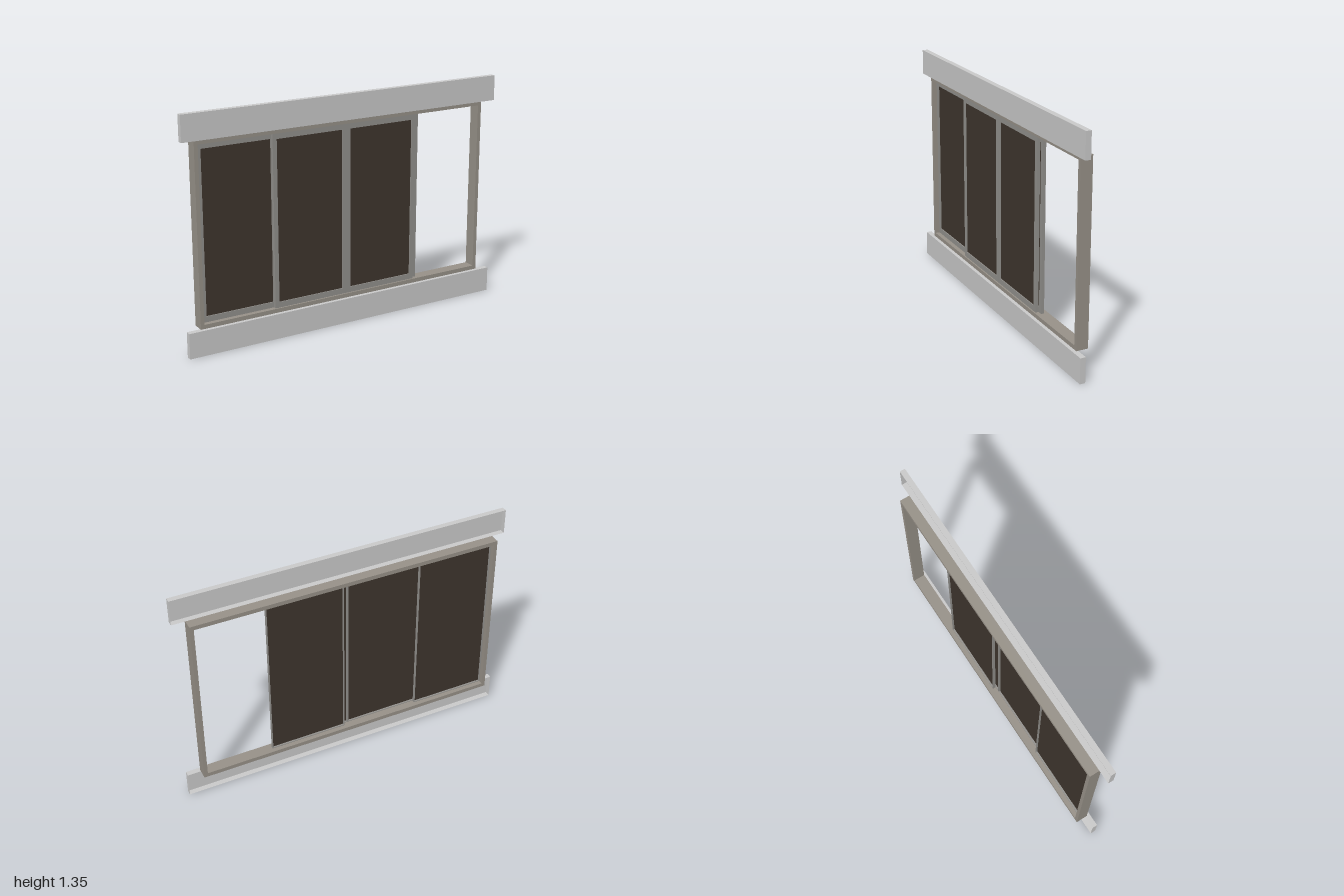
import * as THREE from 'three';

const mat = (name, color, side = THREE.FrontSide) => {
  const m = new THREE.MeshStandardMaterial({ color, side });
  m.name = name;
  return m;
};

// Rectangular ring (picture-frame shape) from z0 to z1
function ring(w, h, bx, by, z0, z1, material, name) {
  const rect = (P, a, b) => new P([
    new THREE.Vector2(-a, -b), new THREE.Vector2(a, -b),
    new THREE.Vector2(a, b), new THREE.Vector2(-a, b),
  ]);
  const shape = rect(THREE.Shape, w / 2, h / 2);
  shape.holes.push(rect(THREE.Path, w / 2 - bx, h / 2 - by));
  const geo = new THREE.ExtrudeGeometry(shape, { depth: z1 - z0, bevelEnabled: false });
  geo.translate(0, 0, z0);
  const mesh = new THREE.Mesh(geo, material);
  mesh.name = name;
  return mesh;
}

export function createModel() {
  const boardGrey = mat('light grey board', 0xcccccc, THREE.DoubleSide);
  const frameGrey = mat('warm grey frame', 0x99938a);
  const sashGrey = mat('sash grey', 0x94928e);
  const glassDark = mat('dark glass', 0x3f362e, THREE.DoubleSide);

  const model = new THREE.Group();
  model.name = 'slidingWindow';

  // Trim boards above and below: shallow trays, open at the back
  const addBoard = (name, y) => {
    const board = new THREE.Group();
    board.name = name;
    const plate = (w, h, x, py, z, rx, ry) => {
      const m = new THREE.Mesh(new THREE.PlaneGeometry(w, h), boardGrey);
      m.position.set(x, py, z);
      m.rotation.set(rx, ry, 0);
      m.name = name + 'Face';
      board.add(m);
    };
    const d = 0.032, zc = 0.045 - d / 2;
    plate(2, 0.148, 0, 0, 0.045, 0, 0);
    for (const s of [-1, 1]) {
      plate(2, d, 0, s * 0.074, zc, -s * Math.PI / 2, 0);
      plate(d, 0.148, s, 0, zc, 0, s * Math.PI / 2);
    }
    board.position.y = y;
    model.add(board);
  };
  addBoard('lowerBoard', 0.074);
  addBoard('upperBoard', 1.276);

  // Fixed outer frame
  const outer = ring(1.844, 1.052, 0.022, 0.024, -0.045, 0.025, frameGrey, 'outerFrame');
  outer.position.y = 0.675;
  model.add(outer);

  // Sashes: face ring in front, thin rim behind it, glass set inside
  const W = 0.46, H = 1.004, D = 0.018;
  const addSash = (name, x, zFront) => {
    const sash = new THREE.Group();
    sash.name = name;
    sash.add(ring(W, H, 0.025, 0.033, -0.006, 0, sashGrey, 'sashFace'));
    sash.add(ring(W, H, 0.004, 0.004, -D, -0.006, sashGrey, 'sashRim'));
    const glass = new THREE.Mesh(new THREE.PlaneGeometry(W - 0.008, H - 0.008), glassDark);
    glass.name = 'glass';
    glass.position.z = -0.007;
    sash.add(glass);
    sash.position.set(x, 0.676, zFront);
    model.add(sash);
  };
  // Two middle sashes on the front track, two on the rear track (one slid open)
  addSash('frontRightSash', -0.232, 0.018);
  addSash('frontLeftSash', 0.23, 0.018);
  addSash('rearRightSash', -0.669, -0.001);
  addSash('rearLeftSash', 0.26, -0.001);

  return model;
}
